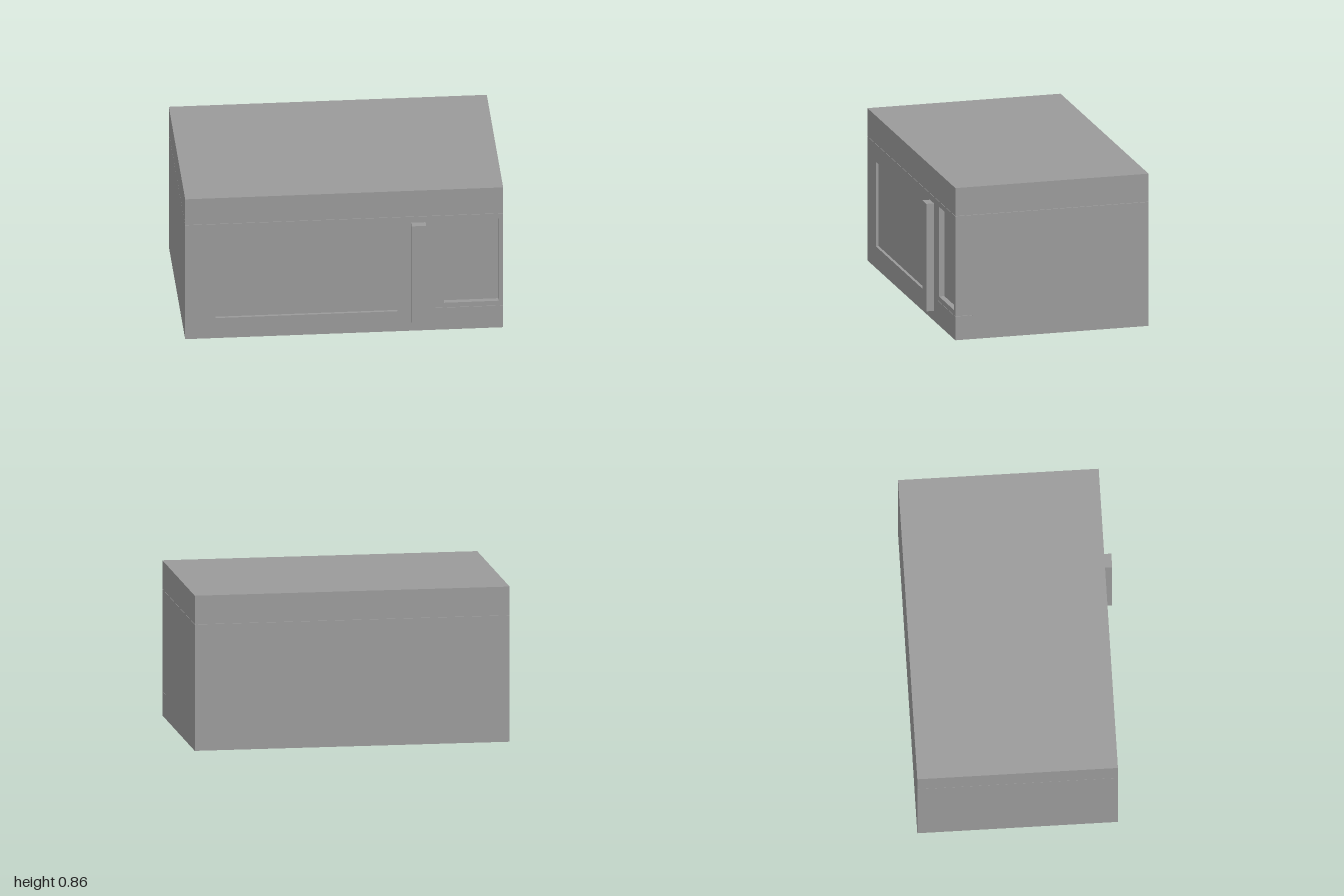
import * as THREE from 'three';

const W = 1.73, D = 1.09, H = 0.855;
const SEAM = 0.697, GAP = 0.002, PLATE = 0.1;
const FRONT = D / 2, BACK = -D / 2, INNER = FRONT - PLATE;

export function createModel() {
  const model = new THREE.Group();
  const oven = new THREE.Group();
  oven.name = 'microwaveOven';
  oven.rotation.y = THREE.MathUtils.degToRad(20);
  model.add(oven);

  const material = new THREE.MeshStandardMaterial({ color: 0x9a9a9a, flatShading: true });

  const add = (name, geometry) => {
    const mesh = new THREE.Mesh(geometry, material);
    mesh.name = name;
    oven.add(mesh);
    return mesh;
  };

  // Box given by its limits on each axis
  const box = (name, x0, x1, y0, y1, z0, z1) =>
    add(name, new THREE.BoxGeometry(x1 - x0, y1 - y0, z1 - z0))
      .position.set((x0 + x1) / 2, (y0 + y1) / 2, (z0 + z1) / 2);

  // Lid, seam core and the main body
  const w = W / 2;
  box('lid', -w, w, SEAM + GAP / 2, H, BACK, FRONT);
  box('seamCore', -w + 0.008, w - 0.008, SEAM - GAP, SEAM + GAP, BACK + 0.008, FRONT - 0.008);
  box('body', -w, w, 0, SEAM - GAP / 2, BACK, INNER);

  // Front plate with a notch for the button and two recesses
  const button = { x: 0.497, y: 0.135 };
  const recesses = [
    { name: 'windowPane', x0: -0.7, x1: 0.291, y0: 0.122, y1: 0.596, depth: 0.016 },
    { name: 'controlPanel', x0: 0.544, x1: 0.842, y0: 0.163, y1: 0.667, depth: 0.03 },
  ];
  const plate = new THREE.Shape([
    [-w, 0], [button.x, 0], [button.x, button.y], [w, button.y],
    [w, SEAM - GAP / 2], [-w, SEAM - GAP / 2],
  ].map(([x, y]) => new THREE.Vector2(x, y)));
  for (const { name, x0, x1, y0, y1, depth } of recesses) {
    plate.holes.push(new THREE.Path(
      [[x0, y0], [x0, y1], [x1, y1], [x1, y0]].map(([x, y]) => new THREE.Vector2(x, y))));
    box(name, x0, x1, y0, y1, INNER, FRONT - depth);
  }
  add('frontPlate', new THREE.ExtrudeGeometry(plate, { depth: PLATE, bevelEnabled: false }))
    .position.z = INNER;

  // Door button in the lower corner; its core closes the seam above and behind
  box('doorButton', button.x, w, 0, button.y - GAP, INNER + GAP, FRONT);
  box('buttonCore', button.x, w - 0.008, 0, button.y, INNER, FRONT - 0.008);

  // Upright door handle
  box('doorHandle', 0.364, 0.443, 0.056, 0.66, FRONT - 0.002, FRONT + 0.043);

  return model;
}
